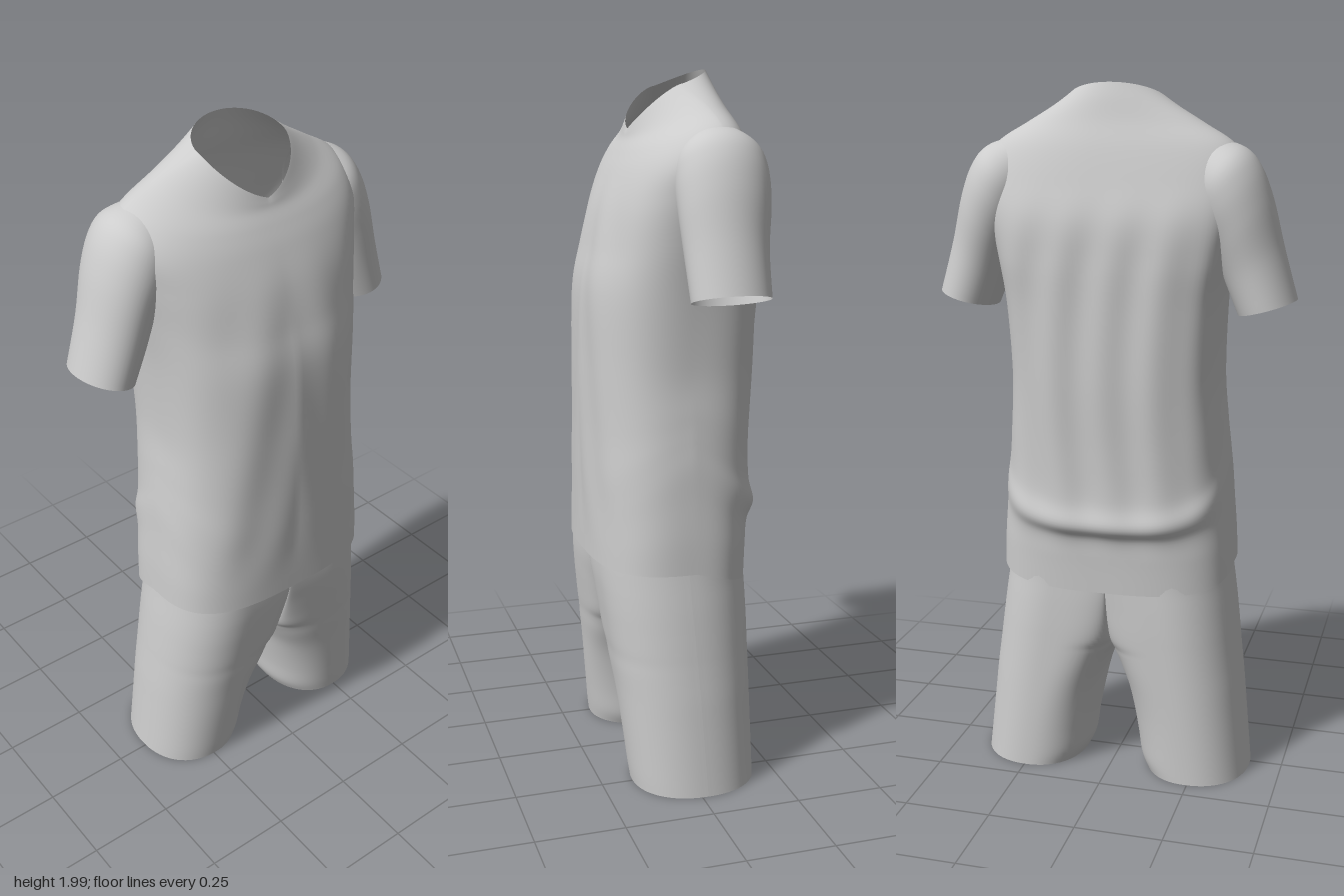
import * as THREE from 'three';
import { mergeVertices } from 'three/addons/utils/BufferGeometryUtils.js';
import { ParametricGeometry } from 'three/addons/geometries/ParametricGeometry.js';

// Smoothly interpolate a table of cross-sections at t in 0..1
function sampleRows(rows, t) {
  const f = t * (rows.length - 1);
  const i = Math.min(Math.floor(f), rows.length - 2);
  const k = f - i;
  const a = rows[Math.max(i - 1, 0)], b = rows[i], c = rows[i + 1];
  const d = rows[Math.min(i + 2, rows.length - 1)];
  return b.map((p, j) => {
    const m0 = (c[j] - a[j]) / 2, m1 = (d[j] - p) / 2;
    const k2 = k * k, k3 = k2 * k;
    return (2 * k3 - 3 * k2 + 1) * p + (k3 - 2 * k2 + k) * m0
      + (3 * k2 - 2 * k3) * c[j] + (k3 - k2) * m1;
  });
}

// Unit superellipse point at an angle
function superellipse(angle, n) {
  const c = Math.cos(angle), s = Math.sin(angle);
  const r = Math.pow(Math.abs(c) ** n + Math.abs(s) ** n, -1 / n);
  return [c * r, s * r];
}

// Surface with welded seams and smooth normals
function cloth(name, fn, nu, nv, material) {
  const raw = new ParametricGeometry(fn, nu, nv);
  raw.deleteAttribute('uv');
  raw.deleteAttribute('normal');
  const geometry = mergeVertices(raw, 1e-5);
  geometry.computeVertexNormals();
  const mesh = new THREE.Mesh(geometry, material);
  mesh.name = name;
  return mesh;
}

// halfWidth, sideZ, frontZ, backZ, sideY, frontY, backY, front and back squareness
const SHIRT = [
  [0.342, 0, 0.24, -0.2, 0.645, 0.645, 0.585, 3, 3],
  [0.338, 0, 0.24, -0.205, 0.74, 0.7, 0.68, 3, 3],
  [0.33, 0, 0.24, -0.212, 0.85, 0.76, 0.745, 3, 3],
  [0.324, 0, 0.24, -0.236, 0.94, 0.81, 0.79, 3, 3],
  [0.316, 0, 0.24, -0.222, 1.01, 0.89, 0.86, 3, 3],
  [0.308, 0, 0.24, -0.222, 1.08, 1.01, 1.0, 2.8, 3.1],
  [0.298, 0, 0.24, -0.23, 1.2, 1.2, 1.2, 2.7, 3.3],
  [0.305, -0.01, 0.235, -0.233, 1.4, 1.4, 1.4, 2.6, 3.7],
  [0.324, -0.035, 0.212, -0.234, 1.55, 1.52, 1.53, 2.5, 3.9],
  [0.35, -0.055, 0.185, -0.229, 1.68, 1.63, 1.64, 2.4, 3.4],
  [0.367, -0.065, 0.152, -0.205, 1.77, 1.72, 1.74, 2.3, 2.7],
  [0.334, -0.065, 0.126, -0.18, 1.84, 1.775, 1.83, 2.2, 2.3],
  [0.25, -0.055, 0.107, -0.155, 1.893, 1.81, 1.9, 2.1, 2.1],
  [0.18, -0.035, 0.1, -0.137, 1.932, 1.828, 1.96, 2, 2],
  [0.135, -0.02, 0.095, -0.122, 1.958, 1.84, 2.0, 2, 2],
];

// outerX, outerY, innerX, innerY, centreZ, halfDepth
const SLEEVE = [
  [0.51, 1.43, 0.35, 1.385, -0.06, 0.108],
  [0.47, 1.57, 0.315, 1.47, -0.06, 0.113],
  [0.437, 1.7, 0.285, 1.55, -0.065, 0.124],
  [0.403, 1.785, 0.25, 1.62, -0.068, 0.128],
  [0.36, 1.832, 0.23, 1.68, -0.068, 0.118],
  [0.29, 1.855, 0.21, 1.73, -0.066, 0.08],
];

// y, innerX, outerX, frontZ, backZ, inner edge z of front half, of back half
const LEG = [
  [0.01, 0.098, 0.405, 0.16, -0.195, -0.02, -0.02],
  [0.05, 0.08, 0.401, 0.165, -0.195, -0.02, -0.02],
  [0.12, 0.07, 0.394, 0.172, -0.195, -0.02, -0.02],
  [0.2, 0.056, 0.386, 0.18, -0.195, -0.015, -0.015],
  [0.28, 0.04, 0.378, 0.188, -0.195, -0.01, -0.01],
  [0.345, 0.018, 0.37, 0.196, -0.195, 0, 0],
  [0.385, 0, 0.365, 0.2, -0.195, 0, 0],
  [0.42, 0, 0.361, 0.205, -0.195, 0.1, -0.09],
  [0.47, 0, 0.355, 0.211, -0.195, 0.152, -0.14],
  [0.54, 0, 0.346, 0.219, -0.194, 0.192, -0.17],
  [0.62, 0, 0.334, 0.225, -0.192, 0.217, -0.185],
  [0.72, 0, 0.319, 0.222, -0.192, 0.222, -0.192],
  [0.9, 0, 0.285, 0.2, -0.19, 0.2, -0.19],
];

// Shirt body from hem to neckline, with soft folds and a V at the front
function shirtPoint(u, v, target) {
  const [w, zs, zf, zb, ys, yf, yb, nf, nb] = sampleRows(SHIRT, v);
  const front = u > 0.5;
  const [c, s] = superellipse(-2 * Math.PI * u, front ? nf : nb);
  const vee = front ? 0.4 * THREE.MathUtils.smoothstep(v, 0.85, 1) : 0;
  const round = Math.abs(s) ** (front ? 1.3 : 1.1);
  const blend = THREE.MathUtils.lerp(round, 1 - Math.abs(c), vee);
  const x = w * c;
  const y = ys + ((front ? yf : yb) - ys) * blend;
  const mask = THREE.MathUtils.smoothstep(y, 0.68, 0.9)
    * (1 - THREE.MathUtils.smoothstep(y, 1.5, 1.75)) * s * s;
  const fold = front
    ? 0.003 * Math.sin(34 * Math.abs(x) + 7 * y)
    : 0.005 * Math.sin(44 * x + 1.5 * Math.sin(4 * y));
  const z = zs + (front ? zf - zs : zs - zb) * s + fold * mask;
  target.set(x, y, z);
}

// Short sleeve from cuff into the shoulder
const sleevePoint = (side) => (u, v, target) => {
  const [ox, oy, ix, iy, cz, depth] = sampleRows(SLEEVE, v);
  const a = -2 * Math.PI * u * side;
  const k = (1 + Math.cos(a)) / 2;
  target.set(side * (ix + (ox - ix) * k), iy + (oy - iy) * k, cz + depth * Math.sin(a));
};

// Front or back half of one shorts leg, joined to the other above the crotch
const legPoint = (side, face) => (u, v, target) => {
  const [y, xi, xo, zf, zb, tipF, tipB] = sampleRows(LEG, v);
  const a = Math.PI * (side * face > 0 ? 1 - u : u);
  const inner = Math.cos(a) < 0;
  const [c, s] = superellipse(a, 2.2 + (inner ? Math.exp(-(((y - 0.39) / 0.13) ** 2)) : 0));
  const cx = THREE.MathUtils.lerp(0.245, 0.15, Math.min(y / 0.6, 1));
  const mid = (zf + zb) / 2;
  const edge = face > 0 ? zf : zb;
  const tip = inner ? (face > 0 ? tipF : tipB) : mid;
  const x = cx + c * (inner ? cx - Math.max(xi, 0) : xo - cx);
  target.set(side * x, y, tip + (edge - tip) * s);
};

export function createModel() {
  const model = new THREE.Group();
  model.name = 'shirtAndShorts';
  const fabric = new THREE.MeshStandardMaterial({ color: 0xcccccc, side: THREE.DoubleSide });
  fabric.name = 'light grey fabric';

  const shirt = new THREE.Group();
  shirt.name = 'shirt';
  shirt.add(cloth('shirtBody', shirtPoint, 144, 90, fabric));

  const shorts = new THREE.Group();
  shorts.name = 'shorts';

  for (const side of [1, -1]) {
    const label = side > 0 ? 'left' : 'right';
    shirt.add(cloth(`${label}Sleeve`, sleevePoint(side), 48, 30, fabric));
    shorts.add(cloth(`${label}LegFront`, legPoint(side, 1), 36, 60, fabric));
    shorts.add(cloth(`${label}LegBack`, legPoint(side, -1), 36, 60, fabric));
  }

  model.add(shirt, shorts);
  return model;
}
